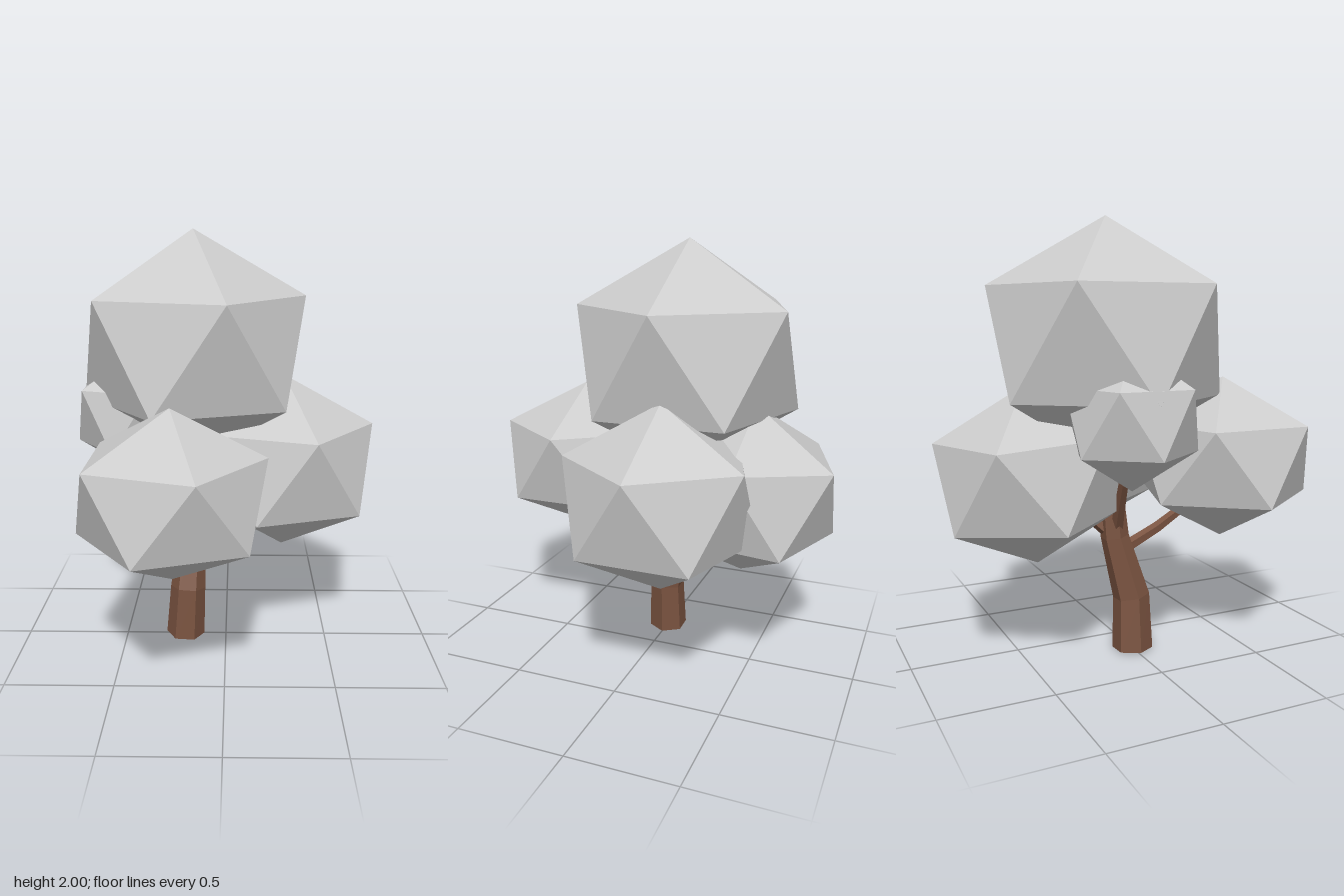
import * as THREE from 'three';
import { ConvexGeometry } from 'three/addons/geometries/ConvexGeometry.js';

const leafMaterial = new THREE.MeshStandardMaterial({ color: 0xcccccc, flatShading: true });
const barkMaterial = new THREE.MeshStandardMaterial({ color: 0x7a5340, flatShading: true });
const UP = new THREE.Vector3(0, 1, 0);

// Icosahedron standing on one corner, with a corner of its upper ring towards +x
function crownGeometry() {
  const points = [new THREE.Vector3(0, 1, 0), new THREE.Vector3(0, -1, 0)];
  const h = 1 / Math.sqrt(5);
  for (let i = 0; i < 10; i++) {
    const a = (i * Math.PI) / 5;
    points.push(new THREE.Vector3(2 * h * Math.cos(a), i % 2 ? -h : h, 2 * h * Math.sin(a)));
  }
  return new ConvexGeometry(points);
}

// Tapered limb through stations [x, y, z, radius], with capped ends
function limb(name, stations, sides) {
  const centres = stations.map(([x, y, z]) => new THREE.Vector3(x, y, z));
  const n = centres.length;
  const position = [];
  const index = [];
  centres.forEach((centre, i) => {
    const along = centres[Math.min(i + 1, n - 1)].clone().sub(centres[Math.max(i - 1, 0)]).normalize();
    const turn = new THREE.Quaternion().setFromUnitVectors(UP, along);
    for (let j = 0; j < sides; j++) {
      const a = (j / sides) * Math.PI * 2;
      const p = new THREE.Vector3(Math.cos(a), 0, Math.sin(a)).multiplyScalar(stations[i][3]);
      p.applyQuaternion(turn).add(centre);
      p.y = Math.max(p.y, 0);
      position.push(p.x, p.y, p.z);
    }
  });
  const top = (n - 1) * sides;
  for (let j = 0; j < sides; j++) {
    const k = (j + 1) % sides;
    for (let r = 0; r < top; r += sides) {
      index.push(r + j, r + sides + j, r + k, r + k, r + sides + j, r + sides + k);
    }
    if (j > 0 && j < sides - 1) index.push(0, j, k, top, top + k, top + j);
  }
  let geometry = new THREE.BufferGeometry();
  geometry.setAttribute('position', new THREE.Float32BufferAttribute(position, 3));
  geometry.setIndex(index);
  geometry = geometry.toNonIndexed();
  geometry.computeVertexNormals();
  const mesh = new THREE.Mesh(geometry, barkMaterial);
  mesh.name = name;
  return mesh;
}

export function createModel() {
  const tree = new THREE.Group();
  tree.name = 'tree';

  // Bent trunk
  tree.add(limb('trunk', [
    [-0.205, 0.008, 0, 0.095],
    [-0.19, 0.26, 0, 0.086],
    [-0.168, 0.55, -0.075, 0.066],
    [-0.15, 1.1, -0.12, 0.045],
  ], 6));

  // Branches reaching into the side crowns
  tree.add(limb('frontBranch', [[-0.17, 0.48, -0.04, 0.03], [-0.18, 0.57, 0.14, 0.026], [-0.22, 0.75, 0.4, 0.018]], 5));
  tree.add(limb('leftBranch', [[-0.16, 0.53, -0.06, 0.032], [0, 0.6, -0.1, 0.026], [0.22, 0.78, -0.14, 0.018]], 5));
  tree.add(limb('backBranch', [[-0.165, 0.54, -0.07, 0.032], [-0.13, 0.66, -0.2, 0.026], [-0.08, 0.8, -0.4, 0.018]], 5));
  tree.add(limb('rightBranch', [[-0.17, 0.55, -0.07, 0.032], [-0.26, 0.72, -0.09, 0.026], [-0.42, 1.02, -0.12, 0.018]], 5));

  // Leaf crowns: name, centre, horizontal radius, vertical radius, tilt about x
  const crowns = [
    ['topCrown', [-0.155, 1.45, -0.115], 0.592, 0.55, 0],
    ['frontCrown', [-0.23, 0.895, 0.46], 0.465, 0.385, 0],
    ['leftCrown', [0.28, 0.878, -0.14], 0.49, 0.437, 0],
    ['backCrown', [-0.075, 0.85, -0.45], 0.47, 0.41, -0.07],
    ['rightCrown', [-0.44, 1.13, -0.12], 0.32, 0.31, 0],
  ];
  const geometry = crownGeometry();
  for (const [name, centre, across, height, tilt] of crowns) {
    const crown = new THREE.Mesh(geometry, leafMaterial);
    crown.name = name;
    crown.position.set(...centre);
    crown.scale.set(across, height, across);
    crown.rotation.x = tilt;
    tree.add(crown);
  }
  return tree;
}
